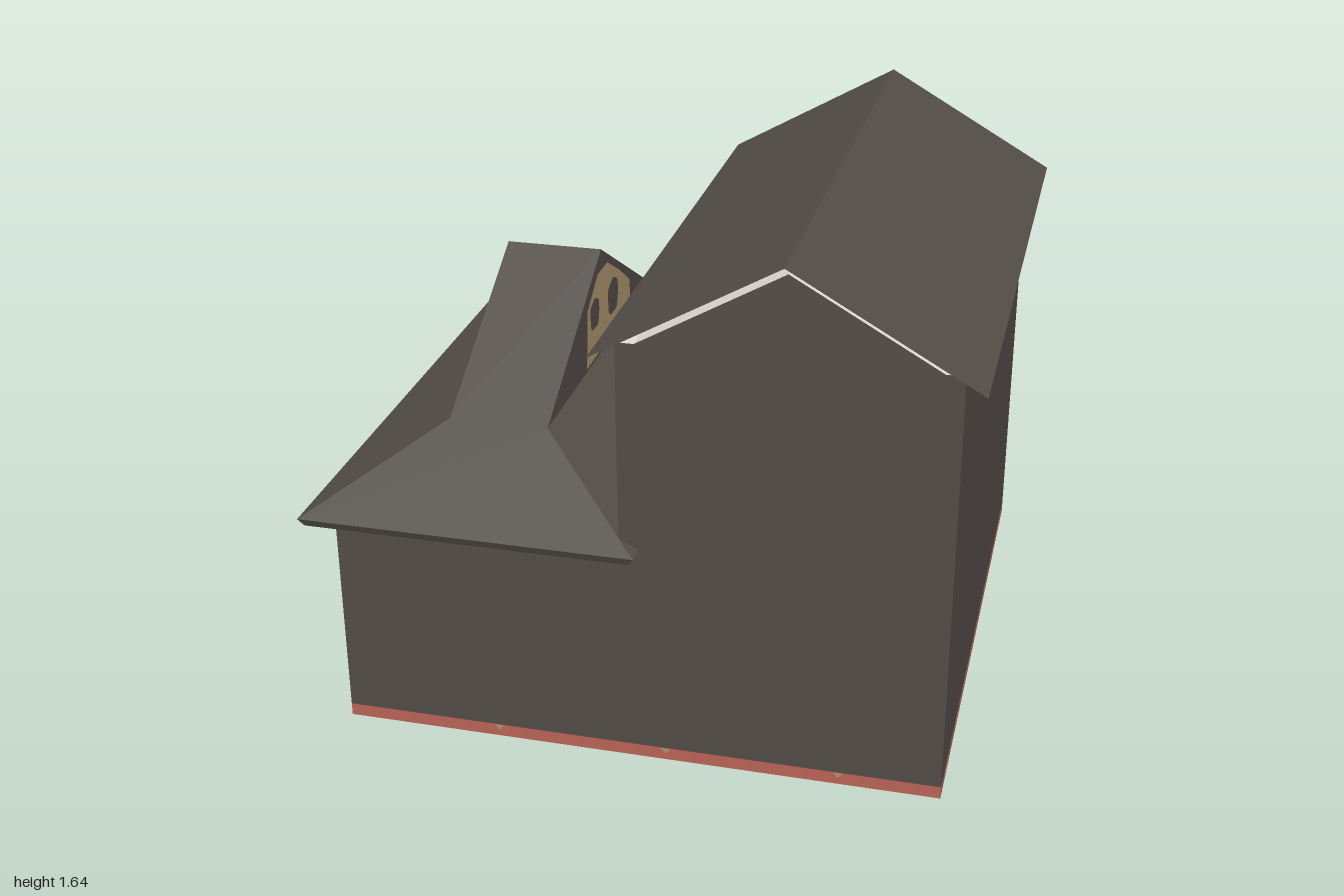
import * as THREE from 'three';

const mat = (name, color, side = THREE.FrontSide) => {
  const m = new THREE.MeshStandardMaterial({ color, side });
  m.name = name;
  return m;
};

export function createModel() {
  const wall = mat('dark wall', 0x524c47);
  const roof = mat('dark roof', 0x524d47, THREE.DoubleSide);
  const red = mat('red brick', 0xb86356);
  const stone = mat('pale stone', 0xdfddd5);
  const tan = mat('tan plaster', 0xac946c);

  const model = new THREE.Group();
  const add = (name, geo, material, parent = model) => {
    const m = new THREE.Mesh(geo, material);
    m.name = name;
    parent.add(m);
    return m;
  };
  // flat faces, each given as a convex ring of corners
  const faces = (rings) => {
    const v = [];
    for (const r of rings)
      for (let i = 1; i < r.length - 1; i++) v.push(...r[0], ...r[i], ...r[i + 1]);
    const g = new THREE.BufferGeometry();
    g.setAttribute('position', new THREE.Float32BufferAttribute(v, 3));
    g.computeVertexNormals();
    return g;
  };
  const shape = (pts) => new THREE.Shape(pts.map(([x, y]) => new THREE.Vector2(x, y)));

  const L = -0.905, R = 0.935, M = -0.03, Z = 0.9, BASE = 0.04;

  // brick base with a stone underside, open on top
  const base = new THREE.BoxGeometry(R - L, BASE, 2 * Z);
  base.groups = base.groups.filter((g) => g.materialIndex !== 2);
  add('base', base, [red, red, red, stone, red, red]).position.set((L + R) / 2, BASE / 2, 0);

  // front and back walls with the tall gable
  const gableTop = [[R, 1.36], [0.88, 1.36], [0.452, 1.605], [0.025, 1.36], [M, 1.36]];
  const outline = [[L, BASE], [R, BASE], ...gableTop, [M, 0.7], [L, 0.7]];
  add('frontWall', new THREE.ShapeGeometry(shape(outline)), wall).position.z = Z;
  const back = add('backWall', new THREE.ShapeGeometry(shape(outline.map(([x, y]) => [-x, y]))), wall);
  back.rotation.y = Math.PI;
  back.position.z = -Z;

  // pale ceiling cap on the tall walls, just under the roof
  add('wallCap', faces(gableTop.slice(1).map(([x, y], i) => {
    const [px, py] = gableTop[i];
    return [[x, y, Z], [px, py, Z], [px, py, -Z], [x, y, -Z]];
  })), stone);

  // side walls: s = +1 faces +x, -1 faces -x
  const sideWall = (name, x, y0, y1, s) => {
    const m = add(name, new THREE.PlaneGeometry(2 * Z, y1 - y0), wall);
    m.rotation.y = s * Math.PI / 2;
    m.position.set(x, (y0 + y1) / 2, 0);
  };
  sideWall('tallOuterWall', R, BASE, 1.36, 1);
  sideWall('tallInnerWall', M, 0.6, 1.36, -1);
  sideWall('lowOuterWall', L, BASE, 0.7, -1);

  // thin gable roof over the tall wing
  const E = 0.958, P = 0.452;
  add('tallRoof', faces([
    [[P, 1.643, E], [1, 1.33, E], [1, 1.33, -E], [P, 1.643, -E]],
    [[P, 1.643, -E], [-0.096, 1.33, -E], [-0.096, 1.33, E], [P, 1.643, E]],
  ]), roof);

  // low roof: hipped skirt, raised cross ridge and bevelled eaves
  const low = new THREE.Group();
  low.name = 'lowRoof';
  low.position.x = -0.486;
  model.add(low);
  const hx = 0.514, tx = 0.155, tz = 0.6, ey = 0.713, ty = 0.917, ridge = 1.267;
  const slopes = [], gables = [];
  for (const s of [1, -1]) {
    slopes.push([[-s * hx, ey, s * E], [s * hx, ey, s * E], [s * tx, ty, s * tz], [-s * tx, ty, s * tz]]);
    slopes.push([[-s * tx, ty, s * tz], [s * tx, ty, s * tz], [s * tx, ridge, 0], [-s * tx, ridge, 0]]);
    slopes.push([[s * hx, ey, s * E], [s * hx, ey, -s * E], [s * tx, ty, -s * tz], [s * tx, ty, s * tz]]);
    gables.push([[s * tx, ty, s * tz], [s * tx, ty, -s * tz], [s * tx, ridge, 0]]);
  }
  add('lowRoofSlopes', faces(slopes), roof, low);
  add('lowRoofGables', faces(gables), wall, low);

  const loop = (x, y, z) => [[-x, y, z], [x, y, z], [x, y, -z], [-x, y, -z]];
  const rings = [loop(hx, ey, E), loop(0.498, 0.687, 0.945), loop(0.41, 0.687, 0.89)];
  const eaves = [];
  for (let k = 0; k < 2; k++)
    for (let i = 0; i < 4; i++) {
      const j = (i + 1) % 4;
      eaves.push([rings[k + 1][i], rings[k + 1][j], rings[k][j], rings[k][i]]);
    }
  add('lowRoofEaves', faces(eaves), roof, low);

  // weathered plates on side walls: local x is +z for face -1, -z for face +1
  const oval = (x, y, rx, ry, Kind = THREE.Shape) => {
    const s = new Kind();
    s.absellipse(x, y, rx, ry, 0, Math.PI * 2);
    return s;
  };
  // window hole with rounded, slightly uneven corners
  const hole = (x, y, rx, ry) => {
    const pts = [];
    for (let i = 0; i < 12; i++) {
      const a = i * Math.PI / 6, c = Math.cos(a), d = Math.sin(a), k = 1 + 0.06 * Math.sin(i * 2.7);
      pts.push(new THREE.Vector2(x + k * rx * Math.sign(c) * Math.abs(c) ** 0.7,
        y + k * ry * Math.sign(d) * Math.abs(d) ** 0.7));
    }
    return new THREE.Path(pts);
  };
  const ragged = (x0, x1, y0, y1) => {
    const a = [], b = [], n = 16;
    for (let i = 0; i <= n; i++) {
      const y = y0 + (y1 - y0) * i / n;
      a.push([x0 + 0.012 * Math.sin(i * 2.3), y]);
      b.unshift([x1 + 0.012 * Math.sin(i * 1.9 + 1), y]);
    }
    return shape([...a, ...b]);
  };
  const plate = (name, s, material, x, face = -1) => {
    const m = add(name, new THREE.ShapeGeometry(s, 8), material);
    m.rotation.y = face * Math.PI / 2;
    m.position.x = x;
    return m;
  };
  const panels = [
    [-0.87, [[0.13, 0.41, 0.06, 0.08], [0.31, 0.39, 0.07, 0.1], [0.31, 0.18, 0.075, 0.08]]],
    [0.15, [[0.33, 0.4, 0.07, 0.1], [0.14, 0.35, 0.03, 0.03], [0.17, 0.14, 0.055, 0.065], [0.32, 0.17, 0.055, 0.065]]],
  ];
  for (const [z, holes] of panels) {
    const s = ragged(z, z + 0.43, 0.05, 0.65);
    s.holes.push(...holes.map(([u, y, rx, ry]) => hole(z + u, y, rx, ry)));
    plate('plasterPanel', s, tan, L - 0.003);
    plate('brickPatch', oval(z + 0.21, 0.61, 0.14, 0.06), red, L - 0.006);
  }
  plate('innerPlasterPatch', oval(-0.42, 0.77, 0.23, 0.09), tan, M - 0.003);

  // plaster on the small gables
  for (const f of [-1, 1]) {
    const s = shape([[-0.19, 0.93], [0.33, 0.93], [0.32, 1.04], [0.2, 1.12], [0.06, 1.2], [-0.05, 1.2], [-0.17, 1.12]]);
    s.holes.push(hole(-0.09, 1.08, 0.05, 0.05), hole(0.12, 1.06, 0.06, 0.06));
    plate('gablePlaster', s, tan, low.position.x + f * (tx + 0.002), f);
  }

  // bare stone under the tall eave
  for (const [z, w] of [[-0.7, 0.18], [0.62, 0.09], [0.82, 0.08]])
    plate('stonePatch', shape([[z - w, 1.36], [z - w, 1.29], [z + w * 0.4, 1.28], [z + w, 1.33], [z + w, 1.36]]), stone, M - 0.003);

  // small chips along the top of the brick base
  const chip = (u) => shape([[u - 0.015, BASE], [u, BASE - 0.018], [u + 0.015, BASE]]);
  for (let i = -3; i <= 3; i++) {
    plate('baseChip', chip(i * 0.266), tan, R + 0.002, 1);
    plate('baseChip', chip(i * 0.266), tan, L - 0.002, -1);
  }
  for (const x of [-0.42, 0.105, 0.63])
    for (const s of [1, -1]) {
      const m = add('baseChip', new THREE.ShapeGeometry(chip(s * x)), tan);
      m.rotation.y = s > 0 ? 0 : Math.PI;
      m.position.z = s * (Z + 0.002);
    }

  return model;
}
